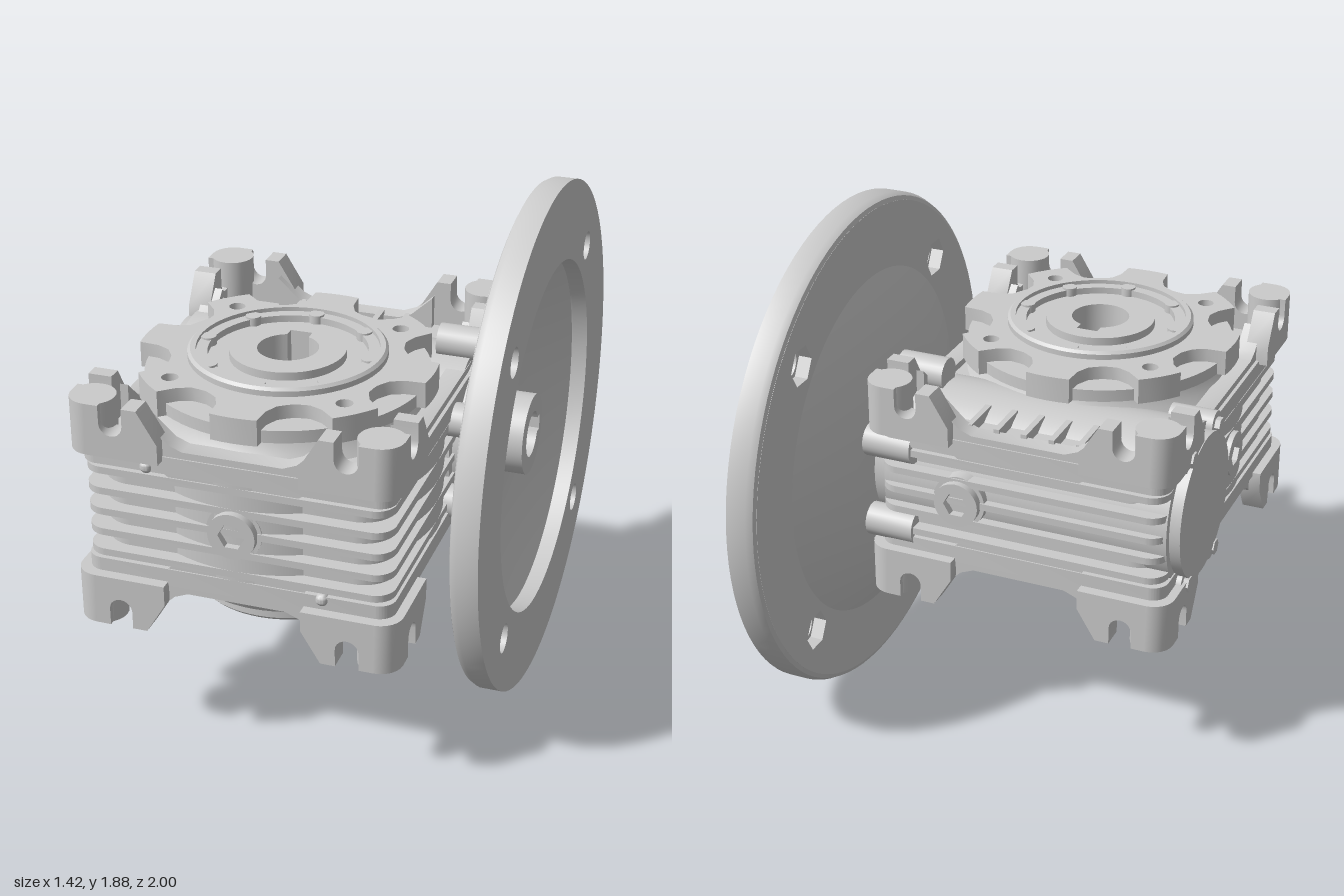
import * as THREE from 'three';
import { toCreasedNormals } from 'three/addons/utils/BufferGeometryUtils.js';

const CY = 0.945;                 // mid height of the housing
const BODY = [-0.12, 0.285];      // housing centre (x, z)
const WHEEL = [-0.12, 0.41];      // vertical output axis (x, z)
const WORM_Z = -0.06;             // horizontal input axis
const PI = Math.PI;

export function createModel() {
  const model = new THREE.Group();
  model.name = 'wormGearbox';
  const mat = new THREE.MeshStandardMaterial({ color: 0xcccccc });

  const add = (name, geo, x = 0, y = 0, z = 0, parent = model) => {
    const m = new THREE.Mesh(toCreasedNormals(geo, 0.6), mat);
    m.name = name;
    m.position.set(x, y, z);
    parent.add(m);
    return m;
  };
  const poly = pts => new THREE.Shape(pts.map(p => new THREE.Vector2(p[0], p[1])));
  const circle = (r, x = 0, y = 0, n = 48, Type = THREE.Path) => {
    const pts = [];
    for (let i = 0; i < n; i++) pts.push(new THREE.Vector2(x + r * Math.cos(i / n * 2 * PI), y + r * Math.sin(i / n * 2 * PI)));
    return new Type(pts);
  };
  const extrude = (shape, depth) => new THREE.ExtrudeGeometry(shape, { depth, bevelEnabled: false, curveSegments: 10 });
  const plan = (shape, depth) => extrude(shape, depth).rotateX(-PI / 2);   // depth runs up y
  const across = (shape, depth) => extrude(shape, depth).rotateY(PI / 2);  // depth runs along +x
  const lathe = (pts, n = 72) => new THREE.LatheGeometry(pts.map(p => new THREE.Vector2(p[0], p[1])), n);
  const cylX = (r, len, n = 32) => new THREE.CylinderGeometry(r, r, len, n).rotateZ(-PI / 2);
  const roundRect = (a, b, r) => {
    const s = new THREE.Shape();
    s.absarc(a - r, b - r, r, 0, PI / 2);
    s.absarc(-a + r, b - r, r, PI / 2, PI);
    s.absarc(-a + r, -b + r, r, PI, 1.5 * PI);
    s.absarc(a - r, -b + r, r, 1.5 * PI, 2 * PI);
    s.closePath();
    // opening around the output axis
    s.holes.push(circle(0.17, WHEEL[0] - BODY[0], BODY[1] - WHEEL[1]));
    return s;
  };
  // round bore with a keyway; angle gives the keyway direction
  const keyBore = (r, w, reach, angle) => {
    const a0 = Math.asin(w / r), pts = [[reach, -w], [reach, w]];
    for (let i = 0; i <= 36; i++) {
      const a = a0 + (2 * PI - 2 * a0) * i / 36;
      pts.push([r * Math.cos(a), r * Math.sin(a)]);
    }
    return new THREE.Path(pts.map(p => new THREE.Vector2(...p).rotateAround(new THREE.Vector2(), angle)));
  };

  // ---- Housing core and cooling fins
  add('housingCore', plan(roundRect(0.525, 0.625, 0.12), 0.48), BODY[0], CY - 0.24, BODY[1]);
  for (let i = -2; i <= 2; i++)
    add('coolingFin', plan(roundRect(0.55, 0.675, 0.07), 0.026), BODY[0], CY + i * 0.08 - 0.013, BODY[1]);
  add('wheelHousing', lathe([
    [0.16, 0.56], [0.4, 0.56], [0.46, 0.66], [0.55, 0.74], [0.55, 1.15], [0.48, 1.22], [0.46, 1.28], [0.16, 1.28], [0.16, 0.56]
  ]), WHEEL[0], 0, WHEEL[1]);
  add('wormHousing', cylX(0.3, 1.09, 48), -0.125, CY, WORM_Z);

  // ---- Slotted mounting frames, top and bottom
  const frame = name => {
    const g = new THREE.Group();
    g.name = name;
    g.position.set(BODY[0], CY, BODY[1]);
    add('deck', plan(roundRect(0.555, 0.675, 0.06), 0.065), 0, 0.185, 0, g);
    for (let k = 0; k < 4; k++) {
      const half = k % 2 ? 0.715 : 0.587, dist = k % 2 ? 0.587 : 0.715;
      const side = new THREE.Group();
      side.name = 'frameSide';
      side.rotation.y = k * PI / 2;
      g.add(side);
      const c = half - 0.175, w = 0.042, e = half - 0.08;
      for (const s of [-1, 1]) {
        const pts = [[e, 0.235], [e, 0.425], [c + w, 0.425]];
        for (let i = 0; i <= 10; i++) pts.push([c + w * Math.cos(i * PI / 10), 0.36 - w * Math.sin(i * PI / 10)]);
        pts.push([c - w, 0.425], [half - 0.27, 0.425], [half - 0.34, 0.31], [half - 0.34, 0.235]);
        add('slottedFoot', extrude(poly(pts.map(p => [p[0] * s, p[1]])), 0.085), 0, 0, dist - 0.085, side);
      }
      // dipped rail between the two feet
      const m = half - 0.28, n = half - 0.36;
      add('dippedRail', extrude(poly([
        [-m, 0.225], [-n, 0.17], [n, 0.17], [m, 0.225], [m, 0.37], [n, 0.295], [n - 0.05, 0.275],
        [-n + 0.05, 0.275], [-n, 0.295], [-m, 0.37]
      ]), 0.07), 0, 0, dist - 0.115, side);
      add('footCorner', new THREE.CylinderGeometry(0.08, 0.08, 0.19, 24), e, 0.33, dist - 0.08, side);
    }
    // short ribs over the worm housing
    for (let i = -2; i <= 2; i++)
      add('wormRib', new THREE.BoxGeometry(0.022, 0.16, 0.17), i * 0.105, 0.21, (WORM_Z - 0.185) - BODY[1], g);
    model.add(g);
    return g;
  };
  frame('topFrame');
  const lower = frame('bottomFrame');
  lower.rotation.x = PI;
  // keep the ribs over the worm housing on the flipped frame
  lower.children.filter(o => o.name === 'wormRib').forEach(o => { o.position.z *= -1; });

  // ---- Output flange with lobed rim
  const ring = (r, hole) => { const s = circle(r, 0, 0, 72, THREE.Shape); s.holes.push(circle(hole)); return s; };
  const boltSpots = [0, 1, 2, 3].map(i => PI / 4 + i * PI / 2);
  add('flangeDisc', plan(ring(0.5, 0.3), 0.045), WHEEL[0], 1.275, WHEEL[1]);
  const lobes = [];
  for (let k = 0; k < 8; k++) {
    for (const [deg, r] of [[-9, 0.53], [-4.5, 0.53], [0, 0.53], [4.5, 0.53], [9, 0.53], [11, 0.46], [15, 0.42], [19, 0.41], [22.5, 0.405], [26, 0.41], [30, 0.42], [34, 0.46]]) {
      const a = k * PI / 4 + deg * PI / 180;
      lobes.push([r * Math.cos(a), r * Math.sin(a)]);
    }
  }
  const lobeShape = poly(lobes);
  lobeShape.holes.push(circle(0.3));
  boltSpots.forEach(a => lobeShape.holes.push(circle(0.03, 0.442 * Math.cos(a), 0.442 * Math.sin(a), 16)));
  add('lobedFlange', plan(lobeShape, 0.095), WHEEL[0], 1.275, WHEEL[1]);
  add('topBearingRing', lathe([[0.28, 1.2], [0.35, 1.2], [0.35, 1.39], [0.34, 1.4], [0.32, 1.4], [0.32, 1.385], [0.28, 1.385], [0.28, 1.2]]), WHEEL[0], 0, WHEEL[1]);
  add('topSeal', plan(ring(0.285, 0.18), 0.1), WHEEL[0], 1.26, WHEEL[1]);
  for (let i = 0; i < 8; i++)
    add('coverScrew', new THREE.CylinderGeometry(0.028, 0.028, 0.06, 16),
      WHEEL[0] + 0.297 * Math.sin(i * PI / 4), 1.362, WHEEL[1] + 0.297 * Math.cos(i * PI / 4));
  add('bottomCover', lathe([[0.19, 0.51], [0.22, 0.51], [0.22, 0.5], [0.28, 0.5], [0.28, 0.49], [0.34, 0.49], [0.355, 0.505], [0.355, 0.62], [0.19, 0.62], [0.19, 0.51]]), WHEEL[0], 0, WHEEL[1]);
  const hollow = circle(0.205, 0, 0, 64, THREE.Shape);
  hollow.holes.push(keyBore(0.108, 0.04, 0.138, PI / 2));
  add('hollowOutputShaft', plan(hollow, 0.89), WHEEL[0], 0.5, WHEEL[1]);

  // ---- Large motor flange on the +x side
  const plate = (holeR, n) => {
    const s = circle(0.912, 0, 0, 96, THREE.Shape);
    s.holes.push(circle(0.65, 0, 0, 96));
    boltSpots.forEach(a => s.holes.push(circle(holeR, 0.765 * Math.cos(a), 0.765 * Math.sin(a), n)));
    return s;
  };
  add('motorFlangeFace', across(plate(0.054, 28), 0.055), 0.65, CY, WORM_Z);
  add('motorFlangeBack', across(plate(0.074, 6), 0.05), 0.6, CY, WORM_Z);
  add('motorFlangeRim', lathe([[0.91, 0.6], [0.928, 0.607], [0.94, 0.63], [0.94, 0.705], [0.91, 0.705], [0.91, 0.6]], 96).rotateZ(-PI / 2), 0, CY, WORM_Z);
  add('motorFlangeCone', lathe([
    [0.21, 0.48], [0.405, 0.48], [0.665, 0.6], [0.665, 0.7], [0.65, 0.7], [0.65, 0.645], [0.41, 0.53], [0.21, 0.53], [0.21, 0.48]
  ], 96).rotateZ(-PI / 2), 0, CY, WORM_Z);
  add('inputNeck', cylX(0.26, 0.1, 48), 0.435, CY, WORM_Z);
  const hub = circle(0.15, 0, 0, 48, THREE.Shape);
  hub.holes.push(keyBore(0.085, 0.03, 0.112, 0));
  add('inputShaft', across(hub, 0.19), 0.46, CY, WORM_Z);
  for (let i = 0; i < 6; i++) {
    const a = PI / 6 + i * PI / 3;
    add('flangeLug', cylX(0.062, 0.19, 24), 0.39, CY + 0.33 * Math.sin(a), WORM_Z + 0.33 * Math.cos(a));
  }

  // ---- Round end cover on the -x side
  add('endCover', lathe([[0, -0.71], [0.25, -0.71], [0.27, -0.69], [0.27, -0.6], [0, -0.6]].reverse().map(p => [p[0], -p[1]]).reverse().map(p => [p[0], 1.31 - p[1]]), 64)
    .rotateZ(PI / 2), 0, CY, WORM_Z);
  for (const deg of [60, 120, 240, 300]) {
    const a = deg * PI / 180, y = CY + 0.29 * Math.sin(a), z = WORM_Z + 0.29 * Math.cos(a);
    add('coverLug', cylX(0.052, 0.17, 24), -0.61, y, z);
    add('coverBolt', cylX(0.03, 0.03, 6), -0.7, y, z);
  }

  // ---- Hexagon socket plugs on three sides
  const plug = (x, z, turn) => {
    const g = new THREE.Group();
    g.name = 'plug';
    g.position.set(x, CY, z);
    g.rotation.y = turn;
    const s = circle(0.085, 0, 0, 36, THREE.Shape);
    s.holes.push(circle(0.048, 0, 0, 6));
    add('plugBoss', new THREE.CylinderGeometry(0.1, 0.105, 0.1, 36).rotateX(PI / 2), 0, 0, -0.07, g);
    add('plugHead', extrude(s, 0.04), 0, 0, -0.03, g);
    model.add(g);
  };
  plug(-0.12, 0.975, 0);
  plug(0.11, -0.405, PI);
  plug(-0.68, 0.36, -PI / 2);

  // ---- Small pins beside the front rails
  for (const [x, y] of [[-0.43, 1.145], [0.19, 0.745]])
    add('pin', new THREE.SphereGeometry(0.024, 16, 12), x, y, 0.95);

  return model;
}
